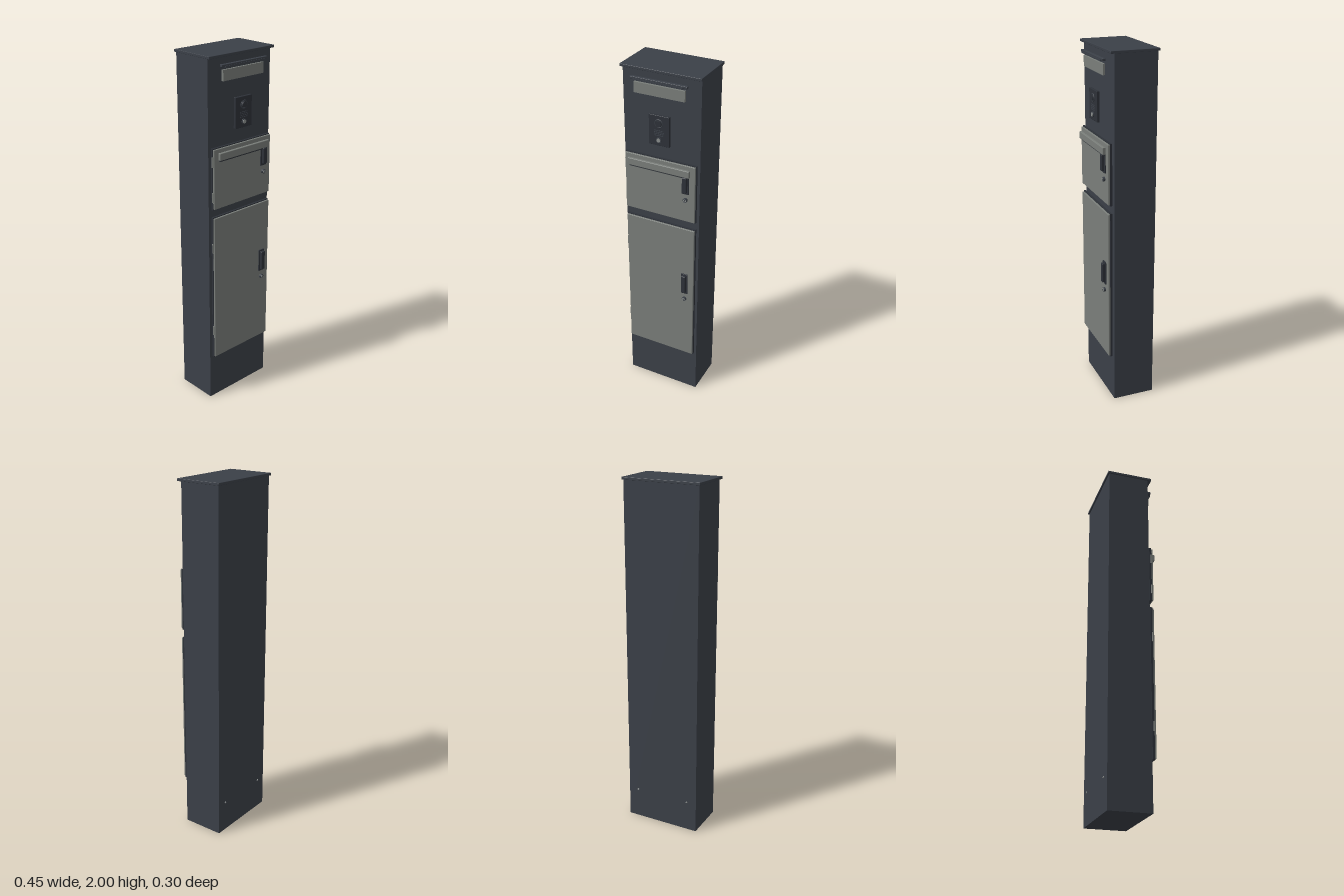
import * as THREE from 'three';
import { RoundedBoxGeometry } from 'three/addons/geometries/RoundedBoxGeometry.js';

const mat = (name, color) => Object.assign(new THREE.MeshStandardMaterial({ color }), { name });

export function createModel() {
  const anthracite = mat('anthracite', 0x3b4048);
  const grey = mat('warm grey', 0x7a7e7a);
  const dark = mat('dark trim', 0x2e3239);
  const steel = mat('steel', 0x8b8f8e);
  const model = new THREE.Group();
  model.name = 'parcelColumn';

  const add = (name, geometry, material, x, y, z) => {
    const mesh = new THREE.Mesh(geometry, material);
    mesh.name = name;
    mesh.position.set(x, y, z);
    model.add(mesh);
    return mesh;
  };
  // Box given by its limits, with optional rounded edges
  const box = (name, material, [x0, x1], [y0, y1], [z0, z1], r = 0) => {
    const size = [x1 - x0, y1 - y0, z1 - z0];
    const geometry = r ? new RoundedBoxGeometry(...size, 2, r) : new THREE.BoxGeometry(...size);
    return add(name, geometry, material, (x0 + x1) / 2, (y0 + y1) / 2, (z0 + z1) / 2);
  };
  // Round part whose axis points along z
  const disc = (name, material, r, depth, x, y, z) =>
    add(name, new THREE.CylinderGeometry(r, r, depth, 24).rotateX(Math.PI / 2), material, x, y, z);

  // Column and overhanging roof
  box('body', anthracite, [-0.219, 0.219], [0, 1.986], [-0.14, 0.097]);
  box('roof', anthracite, [-0.226, 0.226], [1.986, 2], [-0.148, 0.118], 0.002);

  // Letter slot with its rain hood
  box('slotFlap', grey, [-0.142, 0.142], [1.868, 1.925], [0.116, 0.128]);
  box('slotHood', anthracite, [-0.159, 0.159], [1.942, 1.954], [0.12, 0.138], 0.002);
  box('hoodLip', anthracite, [-0.136, 0.136], [1.938, 1.946], [0.13, 0.141]);

  // Intercom: panel, speaker, grille and call button
  box('intercomPanel', dark, [-0.058, 0.058], [1.605, 1.77], [0.115, 0.13], 0.002);
  add('speakerRing', new THREE.TorusGeometry(0.021, 0.003, 8, 28), anthracite, 0, 1.727, 0.131);
  disc('speakerLens', dark, 0.016, 0.012, 0, 1.727, 0.133);
  for (let i = 0; i < 4; i++) {
    const y = 1.66 + i * 0.009;
    box('grilleSlot', anthracite, [-0.028, 0.028], [y, y + 0.003], [0.129, 0.132]);
  }
  disc('buttonRing', anthracite, 0.015, 0.006, 0, 1.637, 0.132);
  disc('callButton', steel, 0.01, 0.008, 0, 1.637, 0.135);

  // Each door: dark seal, panel, hinges, handle and lock
  const doors = [
    { name: 'upper', y: [1.193, 1.522], handle: [1.36, 1.47], lock: 1.325, hinges: [1.26, 1.455] },
    { name: 'lower', y: [0.283, 1.14], handle: [0.718, 0.85], lock: 0.68, hinges: [0.455, 0.965] },
  ];
  for (const { name, y, handle, lock, hinges } of doors) {
    box(name + 'DoorSeal', dark, [-0.207, 0.207], [y[0] - 0.005, y[1] + 0.005], [0.104, 0.116]);
    box(name + 'Door', grey, [-0.204, 0.204], y, [0.113, 0.126], 0.002);
    for (const h of hinges) {
      add(name + 'DoorHinge', new THREE.CylinderGeometry(0.005, 0.005, 0.055, 12), grey, -0.206, h, 0.115);
    }
    box(name + 'HandlePlate', dark, [0.131, 0.171], handle, [0.125, 0.132], 0.002);
    box(name + 'HandleGrip', dark, [0.138, 0.164], [handle[0] + 0.012, handle[1] - 0.008], [0.13, 0.147], 0.004);
    disc(name + 'LockRing', anthracite, 0.012, 0.012, 0.152, lock, 0.131);
    disc(name + 'LockCore', steel, 0.008, 0.006, 0.152, lock, 0.136);
    box(name + 'Keyhole', dark, [0.1505, 0.1535], [lock - 0.005, lock + 0.005], [0.137, 0.14]);
  }

  // Long pull bar across the upper door
  box('pullBar', grey, [-0.18, 0.178], [1.464, 1.503], [0.13, 0.146], 0.003);
  box('pullBarShadowGap', dark, [-0.172, 0.17], [1.456, 1.464], [0.125, 0.138]);

  // Fixing screws low on the back
  for (const x of [-0.16, 0.16]) disc('backScrew', steel, 0.005, 0.006, x, 0.178, -0.141);

  return model;
}
